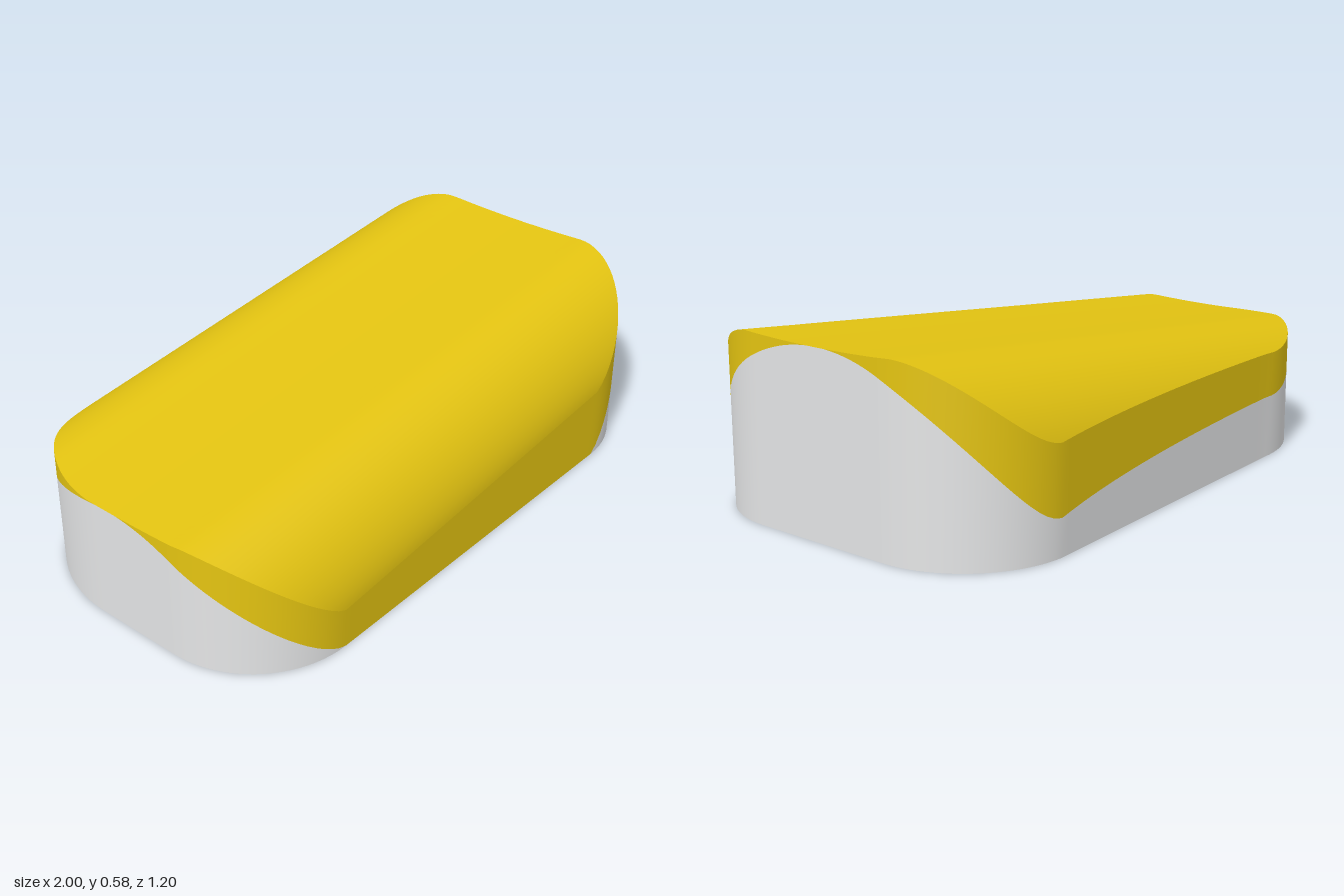
import * as THREE from 'three';

const TILT = 0.09; // rise of the top per unit of x
const halfWidth = (z) => (z > 0 ? 0.6 : 0.62);

// plan outline: front and back edge depth at a given x
const arc = (d, r) => Math.sqrt(Math.max(0, 1 - (d / r) ** 2));
const frontZ = (x) => 0.25 + 0.35 * arc(Math.max(0, Math.abs(x) - 0.65), 0.35);
const backZ = (x) => {
  if (x > 0.65) return -(0.25 + 0.35 * arc(x - 0.65, 0.35));
  if (x < -0.55) return -(0.05 + 0.45 * arc(-0.55 - x, 0.45));
  return -(0.5 + (0.1 * (x + 0.55)) / 1.2);
};

// sloping top, slightly dished along the middle, rolled over at both long edges
const topY = (x, z) => {
  const a = Math.min(1, Math.max(0, Math.abs(z) - 0.28) / (halfWidth(z) - 0.28));
  const drop = 0.3 * (1 - Math.pow(1 - a * a, 0.6));
  return 0.572 + 0.1 * Math.min(z * z, 0.09) - drop - TILT * (1 - x);
};

// colour boundary on the side wall
const seamY = (x, z) => {
  const power = 0.52 + 0.115 * (1 - x);
  const arch = Math.pow(Math.max(0, 1 - (z / halfWidth(z)) ** 2), power);
  return Math.min(topY(x, z), (0.573 - TILT * (1 - x)) * arch);
};

// indexed grid; faces look along (du x dv)
function grid(nu, nv, point, closed = false) {
  const positions = [], index = [];
  const cols = closed ? nu : nu + 1;
  for (let v = 0; v <= nv; v++)
    for (let u = 0; u < cols; u++) positions.push(...point(u, v));
  for (let v = 0; v < nv; v++)
    for (let u = 0; u < nu; u++) {
      const a = v * cols + u, b = v * cols + ((u + 1) % cols);
      index.push(a, b, b + cols, a, b + cols, a + cols);
    }
  const g = new THREE.BufferGeometry();
  g.setAttribute('position', new THREE.Float32BufferAttribute(positions, 3));
  g.setIndex(index);
  g.computeVertexNormals();
  return g;
}

export function createModel() {
  const yellow = new THREE.MeshStandardMaterial({ color: 0xe4c411 });
  yellow.name = 'yellow';
  const grey = new THREE.MeshStandardMaterial({ color: 0xe4e5e6 });
  grey.name = 'lightGrey';

  const NX = 80, NZ = 48;
  const ease = (i, n) => (1 - Math.cos((Math.PI * i) / n)) / 2; // denser at the ends
  const xAt = (i) => -1 + 2 * ease(i, NX);
  const zAt = (x, j) => THREE.MathUtils.lerp(backZ(x), frontZ(x), ease(j, NZ));

  // outline loop: front, +x end, back, -x end
  const outline = [];
  for (let i = 0; i < NX; i++) outline.push([xAt(i), frontZ(xAt(i))]);
  for (let j = NZ; j > 0; j--) outline.push([1, zAt(1, j)]);
  for (let i = NX; i > 0; i--) outline.push([xAt(i), backZ(xAt(i))]);
  for (let j = 0; j < NZ; j++) outline.push([-1, zAt(-1, j)]);

  const wall = (low, high) => grid(outline.length, 1, (u, v) => {
    const [x, z] = outline[u];
    return [x, (v ? high : low)(x, z), z];
  }, true);

  const group = new THREE.Group();
  group.name = 'roundedWedge';
  const add = (name, geometry, material) => {
    const mesh = new THREE.Mesh(geometry, material);
    mesh.name = name;
    group.add(mesh);
  };

  add('topSurface', grid(NZ, NX, (u, v) => {
    const x = xAt(v), z = zAt(x, u);
    return [x, topY(x, z), z];
  }), yellow);
  add('upperWall', wall(seamY, topY), yellow);
  add('lowerWall', wall(() => 0, seamY), grey);
  add('underside', grid(NX, NZ, (u, v) => [xAt(u), 0, zAt(xAt(u), v)]), grey);
  return group;
}
